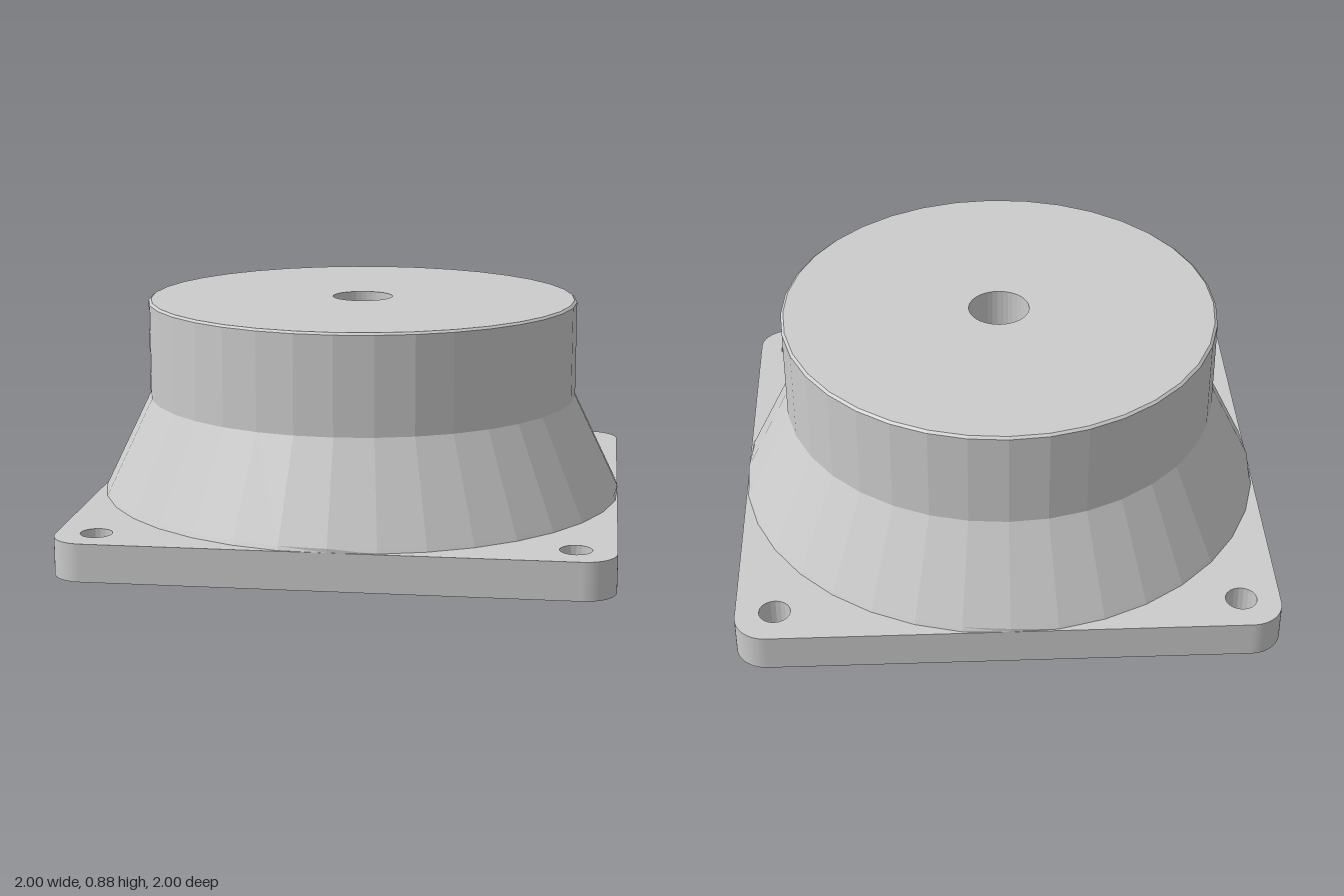
import * as THREE from 'three';

const PLATE_HEIGHT = 0.14;
const SEGMENTS = 36;

// Square plate with rounded corners and four bolt holes
function createPlateGeometry() {
  const corner = 0.12, centre = 1 - corner;
  const shape = new THREE.Shape();
  [[1, 1], [-1, 1], [-1, -1], [1, -1]].forEach(([x, y], i) => {
    const start = i * Math.PI / 2;
    shape.absarc(x * centre, y * centre, corner, start, start + Math.PI / 2, false);
    const hole = new THREE.Path();
    hole.absarc(x * 0.855, y * 0.855, 0.058, 0, Math.PI * 2, true);
    shape.holes.push(hole);
  });
  shape.closePath();
  const geometry = new THREE.ExtrudeGeometry(shape, {
    depth: PLATE_HEIGHT, bevelEnabled: false, curveSegments: 10,
  });
  return geometry.rotateX(-Math.PI / 2);
}

// Flared body, chamfered rim, flat top and blind centre bore
function createBodyGeometry() {
  const profile = [
    [1.007, PLATE_HEIGHT], [1, 0.155], [0.828, 0.51],
    [0.828, 0.874], [0.818, 0.882],
    [0.115, 0.882], [0.115, 0.48], [0, 0.48],
  ].map(([r, y]) => new THREE.Vector2(r, y));
  const geometry = new THREE.LatheGeometry(profile, SEGMENTS);
  // Trim the flare where it would overhang the plate edges
  const p = geometry.attributes.position;
  for (let i = 0; i < p.count; i++) {
    p.setX(i, THREE.MathUtils.clamp(p.getX(i), -1, 1));
    p.setZ(i, THREE.MathUtils.clamp(p.getZ(i), -1, 1));
  }
  return geometry;
}

export function createModel() {
  const group = new THREE.Group();
  group.name = 'flangedMount';
  const material = new THREE.MeshStandardMaterial({ color: 0xcccccc, flatShading: true });
  const add = (name, geometry) => {
    const mesh = new THREE.Mesh(geometry, material);
    mesh.name = name;
    group.add(mesh);
  };
  add('basePlate', createPlateGeometry());
  add('flaredBody', createBodyGeometry());
  return group;
}
